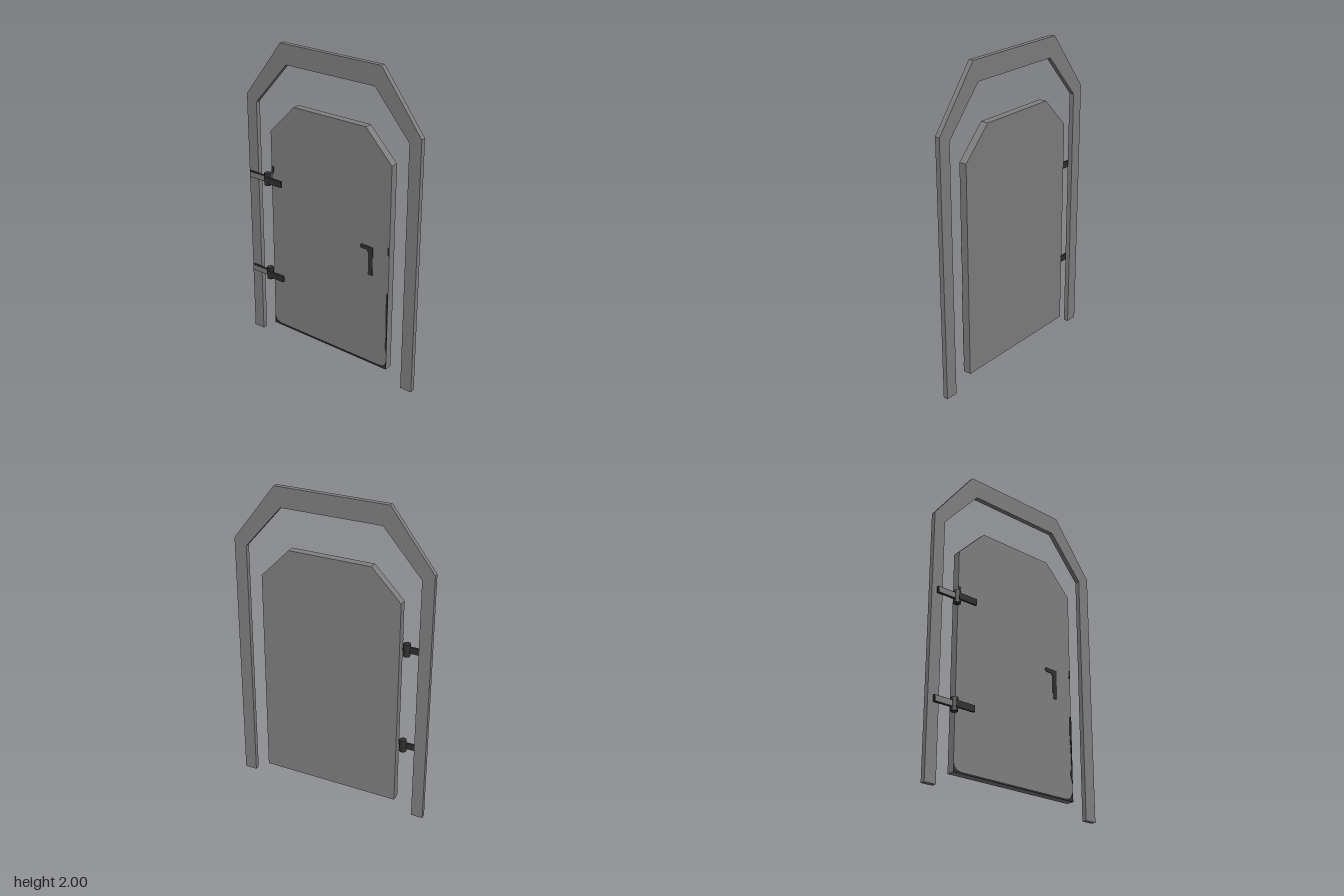
import * as THREE from 'three';

const grey = new THREE.MeshStandardMaterial({ color: 0x808080 });
grey.name = 'grey metal';
const dark = new THREE.MeshStandardMaterial({ color: 0x303030 });
dark.name = 'dark iron';

// Extrudes an outline of [x, y] points from z0 to z1
function plate(name, points, z0, z1, material) {
  const shape = new THREE.Shape(points.map(([x, y]) => new THREE.Vector2(x, y)));
  const geometry = new THREE.ExtrudeGeometry(shape, { depth: z1 - z0, bevelEnabled: false });
  geometry.translate(0, 0, z0);
  const mesh = new THREE.Mesh(geometry, material);
  mesh.name = name;
  return mesh;
}

function box(name, x0, x1, y0, y1, z0, z1, material) {
  const mesh = new THREE.Mesh(new THREE.BoxGeometry(x1 - x0, y1 - y0, z1 - z0), material);
  mesh.position.set((x0 + x1) / 2, (y0 + y1) / 2, (z0 + z1) / 2);
  mesh.name = name;
  return mesh;
}

// Two offset leaves joined by an upright knuckle
function createHinge(name, y) {
  const hinge = new THREE.Group();
  hinge.name = name;
  const knuckle = new THREE.Mesh(new THREE.CylinderGeometry(0.022, 0.022, 0.08, 16), dark);
  knuckle.position.set(-0.468, 0, 0.019);
  knuckle.name = 'knuckle';
  hinge.add(
    knuckle,
    box('frameLeaf', -0.61, -0.47, -0.02, 0.02, 0.016, 0.029, dark),
    box('frameLeafFace', -0.605, -0.49, -0.016, 0.016, 0.029, 0.031, grey),
    box('doorLeaf', -0.47, -0.342, -0.02, 0.02, 0.031, 0.044, dark),
  );
  hinge.position.y = y;
  return hinge;
}

export function createModel() {
  const model = new THREE.Group();
  model.name = 'door';

  // Open-bottomed frame with chamfered top
  model.add(plate('frame', [
    [-0.635, 0], [-0.56, 0], [-0.56, 1.6], [-0.32, 1.875], [0.315, 1.875], [0.552, 1.6],
    [0.552, 0], [0.63, 0], [0.63, 1.64], [0.355, 2], [-0.36, 2], [-0.635, 1.64],
  ], -0.03, 0.001, grey));

  // Door panel
  model.add(plate('panel', [
    [-0.449, 0.09], [0.444, 0.09], [0.444, 1.44], [0.26, 1.63], [-0.264, 1.63], [-0.449, 1.44],
  ], -0.046, 0.003, grey));

  // Dark trim along the bottom and worn edges
  const z0 = 0.003, z1 = 0.006;
  model.add(plate('bottomTrim', [
    [-0.449, 0.09], [0.444, 0.09], [0.444, 0.15], [0.432, 0.12], [0.42, 0.107], [0.39, 0.1],
    [-0.395, 0.1], [-0.425, 0.107], [-0.44, 0.12], [-0.449, 0.14],
  ], z0, z1, dark));
  model.add(plate('rightEdgeTrim', [
    [0.444, 0.2], [0.444, 0.62], [0.433, 0.62], [0.43, 0.52], [0.437, 0.35], [0.43, 0.25],
  ], z0, z1, dark));
  model.add(box('rightEdgeMark', 0.432, 0.444, 0.875, 0.925, z0, z1, dark));
  model.add(box('leftEdgeMark', -0.449, -0.43, 1.165, 1.21, z0, z1, dark));

  // Flat L-shaped handle
  model.add(plate('handle', [
    [0.295, 0.705], [0.327, 0.705], [0.327, 0.892], [0.24, 0.895], [0.232, 0.88],
    [0.24, 0.867], [0.28, 0.867], [0.295, 0.85],
  ], z0, z1, dark));

  model.add(createHinge('upperHinge', 1.125), createHinge('lowerHinge', 0.465));
  return model;
}
